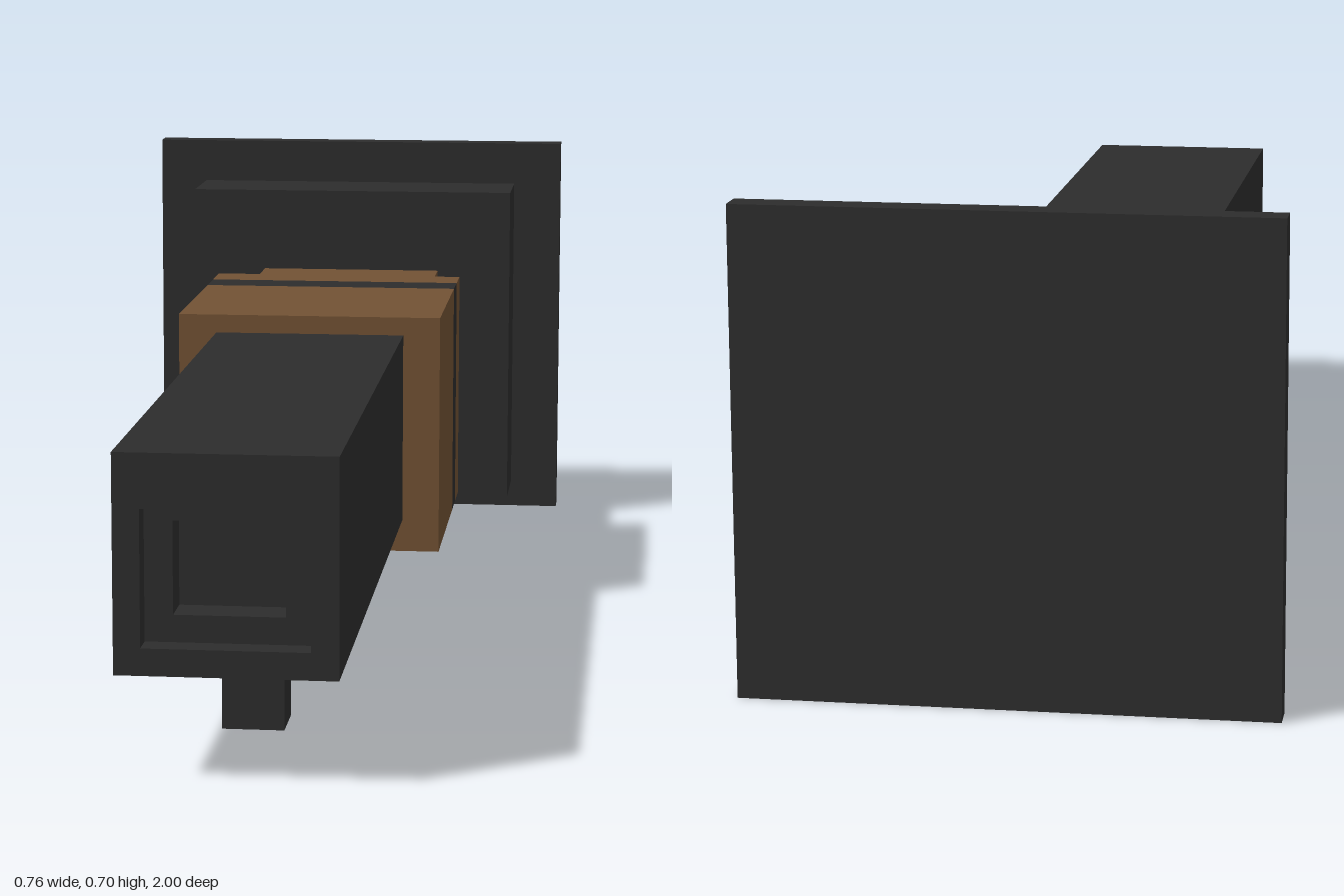
import * as THREE from 'three';

export function createModel() {
  const model = new THREE.Group();
  const dark = new THREE.MeshStandardMaterial({ color: 0x2d2d2d });
  dark.name = 'charcoal';
  const brown = new THREE.MeshStandardMaterial({ color: 0x725234 });
  brown.name = 'brown';

  // Box from its extents along each axis
  function block(name, material, [x0, x1], [y0, y1], [z0, z1]) {
    const mesh = new THREE.Mesh(new THREE.BoxGeometry(x1 - x0, y1 - y0, z1 - z0), material);
    mesh.position.set((x0 + x1) / 2, (y0 + y1) / 2, (z0 + z1) / 2);
    mesh.name = name;
    model.add(mesh);
  }

  const corners = ([x0, x1], [y0, y1]) =>
    [[x0, y0], [x1, y0], [x1, y1], [x0, y1]].map(([x, y]) => new THREE.Vector2(x, y));

  // Square ring with a rectangular opening running along z
  function frame(name, outer, hole, [z0, z1]) {
    const shape = new THREE.Shape(corners(...outer));
    shape.holes.push(new THREE.Path(corners(...hole).reverse()));
    const geometry = new THREE.ExtrudeGeometry(shape, { depth: z1 - z0, bevelEnabled: false });
    const mesh = new THREE.Mesh(geometry, dark);
    mesh.position.z = z0;
    mesh.name = name;
    model.add(mesh);
  }

  // Barrel with a stepped recess in the muzzle
  const barrel = [[-0.157, 0.156], [0.157, 0.47]];
  block('barrel', dark, ...barrel, [-0.063, 0.9]);
  frame('innerMuzzle', barrel, [[-0.079, 0.078], [0.235, 0.368]], [0.9, 0.96]);
  frame('outerMuzzle', barrel, [[-0.119, 0.117], [0.196, 0.392]], [0.96, 1]);

  // Front sight post under the barrel
  block('post', dark, [-0.047, 0.045], [0, 0.157], [0.612, 0.696]);

  // Large grip sleeve with a dark band
  const sleeve = [[-0.22, 0.217], [0.104, 0.5]];
  block('sleeveFront', brown, ...sleeve, [-0.41, -0.063]);
  block('sleeveBand', dark, ...sleeve, [-0.483, -0.41]);
  block('sleeveBack', brown, ...sleeve, [-0.562, -0.483]);

  // Narrow neck with a dark band
  const neck = [[-0.165, 0.161], [0.142, 0.478]];
  block('neckBand', dark, ...neck, [-0.64, -0.562]);
  block('neck', brown, ...neck, [-0.8, -0.64]);

  // Stepped base plates
  block('basePlate', dark, [-0.297, 0.295], [0.048, 0.626], [-0.957, -0.8]);
  block('endPlate', dark, [-0.383, 0.382], [0, 0.703], [-1, -0.957]);

  return model;
}
